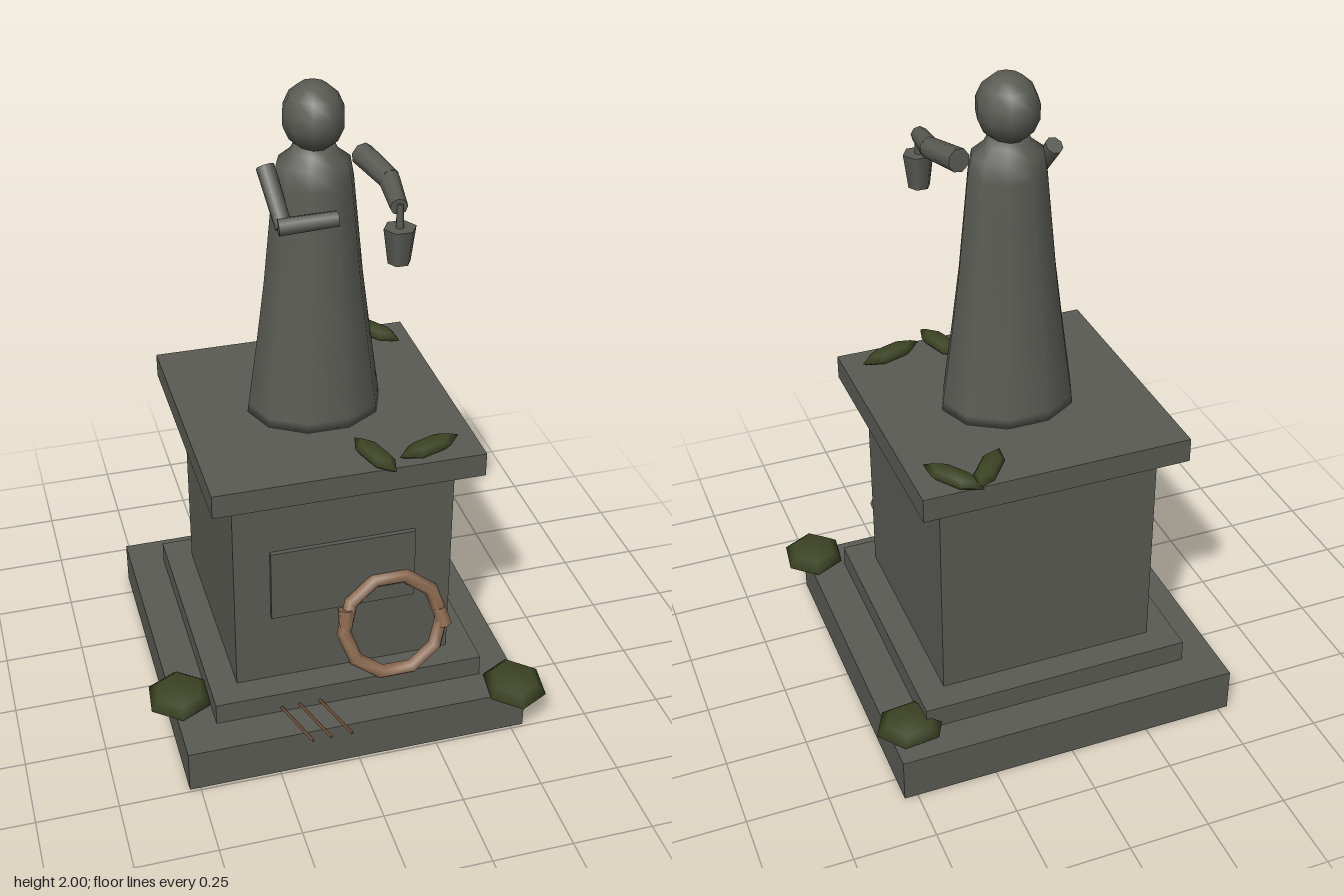
import * as THREE from 'three';

const stone = new THREE.MeshStandardMaterial({ color: 0x5a5b54 });
stone.name = 'weathered stone';
const moss = new THREE.MeshStandardMaterial({ color: 0x3c4424 });
moss.name = 'moss green';
const straw = new THREE.MeshStandardMaterial({ color: 0x8c6a50 });
straw.name = 'dry wreath brown';
const twigBrown = new THREE.MeshStandardMaterial({ color: 0x6b4c36 });
twigBrown.name = 'twig brown';

const CX = 0.004, CZ = -0.046; // axis of the monument

export function createModel() {
  const root = new THREE.Group();
  root.name = 'monument';

  const add = (name, geometry, material, x = 0, y = 0, z = 0) => {
    const mesh = new THREE.Mesh(geometry, material);
    mesh.name = name;
    mesh.position.set(x, y, z);
    root.add(mesh);
    return mesh;
  };

  // Square slab between two heights
  const slab = (name, size, y0, y1) =>
    add(name, new THREE.BoxGeometry(size, y1 - y0, size), stone, CX, (y0 + y1) / 2, CZ);

  // Tapered rod from point a to point b
  const rod = (name, a, b, ra, rb, material, sides = 8) => {
    const from = new THREE.Vector3(...a), to = new THREE.Vector3(...b);
    const dir = to.clone().sub(from);
    const mesh = add(name, new THREE.CylinderGeometry(rb, ra, dir.length(), sides), material);
    mesh.position.copy(from).add(to).multiplyScalar(0.5);
    mesh.quaternion.setFromUnitVectors(new THREE.Vector3(0, 1, 0), dir.normalize());
    return mesh;
  };

  // Flattened low ellipsoid, turned about the vertical
  const blob = (name, x, y, z, rx, ry, rz, turn, sides = 6) => {
    const mesh = add(name, new THREE.SphereGeometry(1, sides, 4), moss, x, y, z);
    mesh.scale.set(rx, ry, rz);
    mesh.rotation.y = turn;
    return mesh;
  };

  // Pedestal
  slab('basePlinth', 1.074, 0, 0.14);
  slab('step', 0.85, 0.14, 0.21);
  slab('pedestalBlock', 0.68, 0.21, 0.895);
  slab('pedestalCap', 0.82, 0.895, 0.97);
  add('blankPlaque', new THREE.BoxGeometry(0.45, 0.24, 0.02), stone, 0, 0.57, 0.298);

  // Robed body: oval lathe with ten sides
  const profile = [
    [0, 0.97], [0.208, 0.97], [0.204, 1.0], [0.176, 1.2], [0.15, 1.4], [0.13, 1.6],
    [0.119, 1.71], [0.108, 1.77], [0.07, 1.8], [0.055, 1.83], [0, 1.83],
  ].map(([r, y]) => new THREE.Vector2(r, y));
  const body = add('robe', new THREE.LatheGeometry(profile, 10, Math.PI / 2), stone, CX, 0, CZ);
  body.scale.z = 0.85;

  // Head
  const head = add('head', new THREE.SphereGeometry(1, 10, 7), stone, CX, 1.9, CZ);
  head.scale.set(0.091, 0.1, 0.105);

  // Right arm, folded across the chest
  rod('rightUpperArm', [-0.136, 1.765, -0.045], [-0.112, 1.625, 0.065], 0.027, 0.025, stone);
  rod('rightForearm', [-0.13, 1.63, 0.07], [0.04, 1.642, 0.083], 0.026, 0.023, stone);

  // Left arm, reaching forward
  rod('leftUpperArm', [0.148, 1.768, -0.05], [0.182, 1.75, 0.1], 0.035, 0.031, stone);
  rod('leftForearm', [0.182, 1.75, 0.09], [0.165, 1.731, 0.238], 0.031, 0.025, stone);

  // Hanging lantern
  rod('lanternHanger', [0.168, 1.665, 0.242], [0.168, 1.74, 0.238], 0.012, 0.009, stone, 6);
  const lantern = add('lantern', new THREE.CylinderGeometry(0.047, 0.033, 0.105, 6), stone, 0.168, 1.62, 0.242);
  lantern.rotation.y = Math.PI / 6;

  // Wreath leaning on the pedestal
  const wreath = new THREE.Group();
  wreath.name = 'wreath';
  wreath.position.set(0.145, 0.388, 0.355);
  wreath.rotation.x = -0.3;
  const ring = new THREE.Mesh(new THREE.TorusGeometry(0.157, 0.023, 6, 10), straw);
  ring.name = 'wreathRing';
  wreath.add(ring);
  for (const angle of [0, 2.85]) {
    const tip = new THREE.Mesh(new THREE.CylinderGeometry(0.021, 0.026, 0.06, 6), straw);
    tip.name = 'wreathTip';
    tip.position.set(Math.cos(angle) * 0.155, Math.sin(angle) * 0.155, 0.004);
    tip.rotation.z = angle + 0.2;
    wreath.add(tip);
  }
  root.add(wreath);

  // Twigs on the base
  for (const x of [-0.225, -0.168, -0.103]) {
    rod('twig', [x, 0.155, 0.35], [x + 0.064, 0.155, 0.545], 0.005, 0.005, twigBrown, 5);
  }

  // Moss clumps on the base
  blob('mossClump', -0.507, 0.148, 0.235, 0.115, 0.037, 0.105, Math.PI / 2 - 0.1);
  blob('mossClump', 0.515, 0.148, 0.462, 0.118, 0.037, 0.1, Math.PI / 2 - 0.13);
  blob('mossClump', 0.473, 0.153, -0.448, 0.109, 0.034, 0.1, 0.1);

  // Leaves on the cap, given by their ends in x and z
  const leaves = [
    [0.06, 0.2, 0.125, 0.405], [0.155, 0.338, 0.36, 0.265],
    [0.135, -0.315, 0.262, -0.48], [0.245, -0.487, 0.365, -0.312],
  ];
  for (const [x0, z0, x1, z1] of leaves) {
    const dx = x1 - x0, dz = z1 - z0;
    blob('leaf', (x0 + x1) / 2, 0.985, (z0 + z1) / 2, Math.hypot(dx, dz) / 2, 0.022, 0.038, -Math.atan2(dz, dx));
  }

  return root;
}
